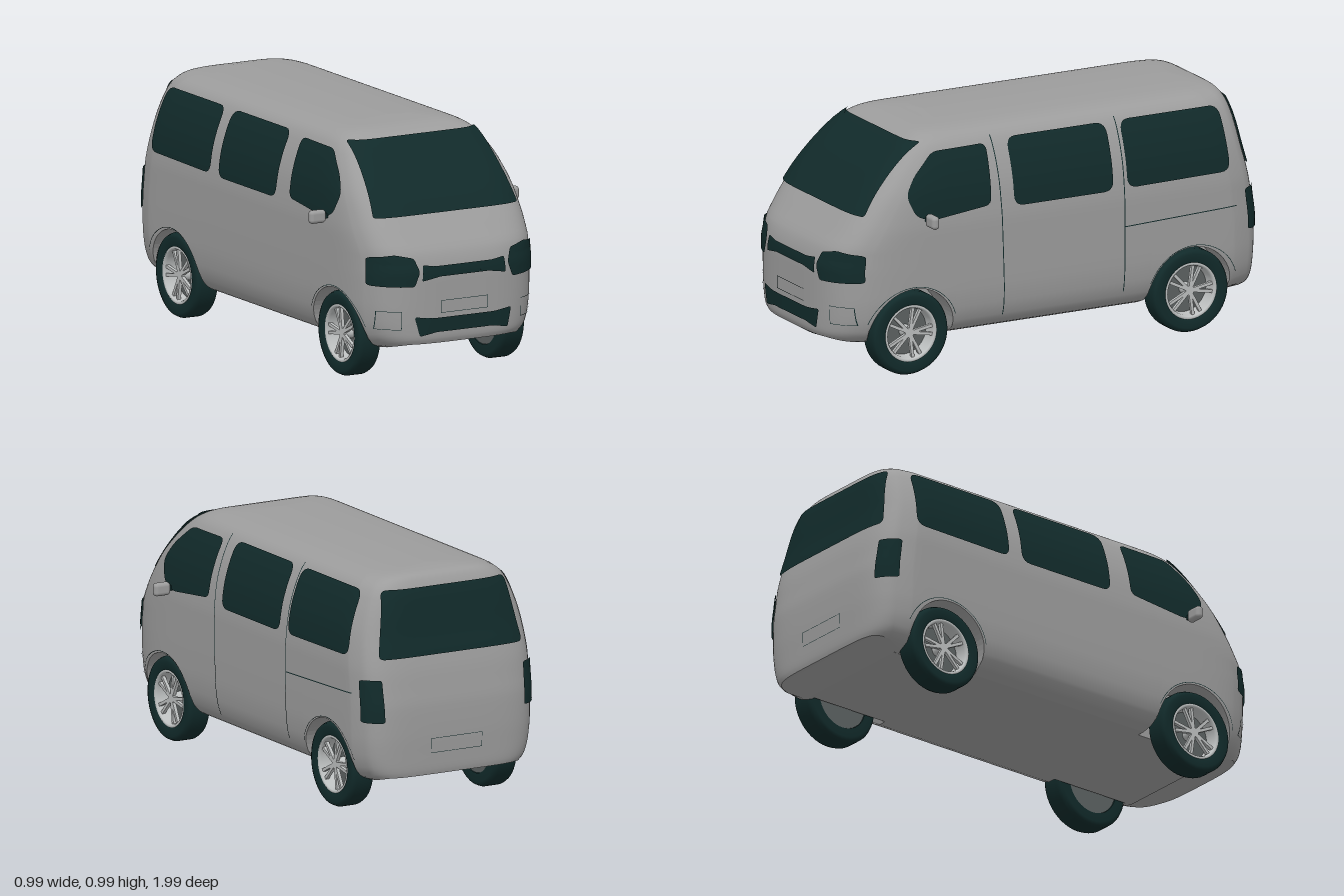
import * as THREE from 'three';
import { RoundedBoxGeometry } from 'three/addons/geometries/RoundedBoxGeometry.js';

const V3 = (x, y, z) => new THREE.Vector3(x, y, z);
const mat = (name, color, side = THREE.FrontSide) => {
  const m = new THREE.MeshStandardMaterial({ color, side });
  m.name = name;
  return m;
};

// Body profile by height: half width, front reach, rear reach
const Y = [.135, .16, .2, .26, .34, .45, .53, .6, .67, .75, .83, .9, .93, .95, .97, .982, .99];
const W = [.30, .355, .385, .402, .409, .41, .41, .41, .405, .394, .372, .343, .325, .306, .27, .22, .12];
const F = [.95, .98, .994, .994, .994, .994, .975, .925, .87, .805, .73, .655, .62, .59, .55, .5, .4];
const B = [.95, .975, .983, .985, .987, .985, .975, .965, .95, .93, .915, .9, .89, .88, .865, .84, .78];

// Smooth interpolation without overshoot
function curve(T, y) {
  const n = Y.length;
  y = Math.min(Math.max(y, Y[0]), Y[n - 1]);
  let i = 0;
  while (i < n - 2 && y > Y[i + 1]) i++;
  const slope = k => (T[k + 1] - T[k]) / (Y[k + 1] - Y[k]);
  const tangent = k => {
    if (k === 0) return slope(0);
    if (k === n - 1) return slope(n - 2);
    const a = slope(k - 1), b = slope(k);
    return a * b <= 0 ? 0 : 2 * a * b / (a + b);
  };
  const h = Y[i + 1] - Y[i], t = (y - Y[i]) / h, t2 = t * t, t3 = t2 * t;
  return (2 * t3 - 3 * t2 + 1) * T[i] + (t3 - 2 * t2 + t) * h * tangent(i)
    + (3 * t2 - 2 * t3) * T[i + 1] + (t3 - t2) * h * tangent(i + 1);
}

// Plan shape: s runs from 1 (nose) to -1 (tail), rounded at both ends
const END = { front: { at: .5, p: 4.5 }, back: { at: .75, p: 4 } };
const power = (end, y) => end === 'back' ? 6 : 4 + 6 * THREE.MathUtils.clamp((y - .5) / .4, 0, 1);
function planWidth(s, y) {
  const end = s > 0 ? 'front' : 'back', e = END[end];
  const t = Math.min(Math.max(0, (Math.abs(s) - e.at) / (1 - e.at)), 1);
  return Math.pow(1 - Math.pow(t, e.p), 1 / power(end, y));
}
function planReach(g, end, y) {
  const e = END[end];
  return e.at + (1 - e.at) * Math.pow(1 - Math.pow(g, power(end, y)), 1 / e.p);
}
const zAt = (s, y) => s > .2 ? .2 + (s - .2) * (curve(F, y) - .2) / .8
  : s < -.2 ? -.2 + (s + .2) * (curve(B, y) - .2) / .8 : s;
const sAt = (z, y) => z > .2 ? Math.min(1, .2 + (z - .2) * .8 / (curve(F, y) - .2))
  : z < -.2 ? Math.max(-1, -.2 + (z + .2) * .8 / (curve(B, y) - .2)) : z;

// Lower edge of the body with the wheel arches
const AXLE = .65, HUB = .175, ARCH = .193;
const floorAt = s => .138 + .03 * THREE.MathUtils.clamp((Math.abs(s) - .86) / .12, 0, 1);
function edgeAt(s) {
  const d = Math.abs(Math.abs(s) - AXLE);
  return d <= ARCH + 1e-6 ? HUB + Math.sqrt(Math.max(0, ARCH * ARCH - d * d)) : floorAt(s);
}

function columns() {
  const arch = [AXLE + ARCH + .002];
  for (let i = 0; i <= 28; i++) arch.push(AXLE + ARCH * Math.cos(Math.PI * i / 28));
  arch.push(AXLE - ARCH - .002);
  const tip = end => {
    const g0 = planWidth(end === 'front' ? .855 : -.855, .3), out = [];
    for (let i = 0; i <= 26; i++) out.push(i === 0 ? 1 : planReach(g0 * i / 26, end, .3));
    return out;
  };
  const middle = [];
  for (let i = 1; i < 16; i++) middle.push(.45 - .9 * i / 16);
  return [...tip('front'), ...arch, ...middle, ...arch.map(s => -s).reverse(), ...tip('back').map(s => -s).reverse()];
}

// Closed rings of points joined row by row
function loft(rows) {
  const n = rows[0].length, pos = [], idx = [];
  rows.forEach(r => r.forEach(p => pos.push(p.x, p.y, p.z)));
  for (let j = 0; j < rows.length - 1; j++) for (let i = 0; i < n; i++) {
    const a = j * n + i, b = j * n + (i + 1) % n;
    idx.push(a, b, b + n, a, b + n, a + n);
  }
  const g = new THREE.BufferGeometry();
  g.setAttribute('position', new THREE.Float32BufferAttribute(pos, 3));
  g.setIndex(idx);
  g.computeVertexNormals();
  return g;
}
const ring = (cols, fn) => {
  const half = cols.map(fn);
  return [...half, ...half.slice(1, -1).reverse().map(p => V3(-p.x, p.y, p.z))];
};

// Point on the body seen from one side, lifted along the normal
function onBody(side, u, v, lift) {
  const at = (a, b) => {
    const w = curve(W, b);
    if (side === 'left' || side === 'right')
      return V3((side === 'left' ? 1 : -1) * w * planWidth(sAt(a, b), b), b, a);
    const s = planReach(Math.min(Math.abs(a) / w, .985), side, b);
    return V3(a, b, zAt(side === 'front' ? s : -s, b));
  };
  const p = at(u, v), d = .003;
  const n = at(u + d, v).sub(at(u - d, v)).cross(at(u, v + d).sub(at(u, v - d))).normalize();
  const out = { left: V3(1, 0, 0), right: V3(-1, 0, 0), front: V3(0, 0, 1), back: V3(0, 0, -1) }[side];
  return p.addScaledVector(n, n.dot(out) < 0 ? -lift : lift);
}

// Rounded outline with evenly spaced points
function outline(pts, r) {
  const P = pts.map(p => new THREE.Vector2(...p)), out = [], n = P.length;
  P.forEach((p, i) => {
    const toward = q => p.clone().lerp(q, Math.min(.45, r / p.distanceTo(q)));
    const c = new THREE.QuadraticBezierCurve(toward(P[(i + n - 1) % n]), p, toward(P[(i + 1) % n]));
    out.push(...c.getPoints(5));
  });
  return out.flatMap((p, i) => {
    const q = out[(i + 1) % out.length], k = Math.max(1, Math.ceil(p.distanceTo(q) / .025));
    return Array.from({ length: k }, (_, j) => p.clone().lerp(q, j / k));
  });
}
function panelGeometry(side, pts, r, lift = .006) {
  const edge = outline(pts, r), c = new THREE.Vector2(), rows = [];
  edge.forEach(p => c.addScaledVector(p, 1 / edge.length));
  for (let k = 0; k <= 10; k++) rows.push(edge.map(p => {
    const q = c.clone().lerp(p, k === 0 ? .001 : k / 10);
    return onBody(side, q.x, q.y, lift);
  }));
  return loft(rows);
}
function seamGeometry(side, pts, width = .004) {
  const pos = [];
  for (let i = 0; i < pts.length - 1; i++) {
    const a = new THREE.Vector2(...pts[i]), b = new THREE.Vector2(...pts[i + 1]);
    const n = b.clone().sub(a).normalize().multiplyScalar(width / 2);
    const k = Math.ceil(a.distanceTo(b) / .02);
    for (let j = 0; j < k; j++) {
      const p = a.clone().lerp(b, j / k), q = a.clone().lerp(b, (j + 1) / k);
      const c = [[p, -1], [q, -1], [q, 1], [p, 1]].map(([e, m]) => onBody(side, e.x + n.y * m, e.y - n.x * m, .003));
      [0, 1, 2, 0, 2, 3].forEach(m => pos.push(...c[m].toArray()));
    }
  }
  const g = new THREE.BufferGeometry();
  g.setAttribute('position', new THREE.Float32BufferAttribute(pos, 3));
  g.computeVertexNormals();
  return g;
}

export function createModel() {
  const van = new THREE.Group();
  van.name = 'van';
  const paint = mat('bodyGrey', 0x9c9c9c), dark = mat('darkGlass', 0x112a2a, THREE.DoubleSide);
  const metal = mat('rimSilver', 0xbcbfbf), shade = mat('rimShade', 0x5c6262);
  const add = (name, geo, m, parent = van) => {
    const mesh = new THREE.Mesh(geo, m);
    mesh.name = name;
    parent.add(mesh);
    return mesh;
  };

  // Body shell
  const cols = columns(), levels = [];
  Y.forEach((y, i) => { if (i < Y.length - 1) for (let k = 0; k < 3; k++) levels.push(y + (Y[i + 1] - y) * k / 3); });
  levels.push(.99);
  const skin = (s, level) => {
    const e = edgeAt(s), y = level < .45 ? e + (level - .135) / .315 * (.45 - e) : level;
    return V3(curve(W, y) * planWidth(s, y), y, zAt(s, y));
  };
  const rows = levels.map(l => ring(cols, s => skin(s, l)));
  rows.push(ring(cols, s => V3(0, .992, zAt(s, .99) * .95)));
  add('bodyShell', loft(rows), paint);

  // Floor and wheel wells
  const under = (x, low) => ring(cols, s => {
    const p = skin(s, .135);
    return V3(Math.min(x, p.x), low ? floorAt(s) : p.y, p.z);
  });
  const floor = loft([under(0, true), under(.272, true), under(.272, false), under(1, false)]).toNonIndexed();
  floor.computeVertexNormals();
  add('underbody', floor, paint);

  // Side windows and mirrors
  const sideWindows = {
    frontDoorWindow: [[.675, .755], [.63, .825], [.53, .912], [.282, .915], [.292, .675], [.57, .645], [.64, .67]],
    middleWindow: [[.185, .925], [-.275, .925], [-.275, .655], [.185, .655]],
    rearSideWindow: [[-.34, .925], [-.80, .925], [-.818, .665], [-.34, .658]],
  };
  for (const side of ['left', 'right']) {
    const m = side === 'left' ? 1 : -1;
    for (const [name, pts] of Object.entries(sideWindows))
      add(side + name, panelGeometry(side, pts, name === 'frontDoorWindow' ? .03 : .045), dark);
    add(side + 'Mirror', new RoundedBoxGeometry(.075, .055, .034, 4, .016), paint).position.set(m * .455, .655, .59);
    add(side + 'MirrorArm', new THREE.BoxGeometry(.04, .02, .015), dark).position.set(m * .41, .655, .59);
    for (const z of [AXLE, -AXLE]) {
      const arc = Array.from({ length: 25 }, (_, i) => {
        const a = Math.PI * (.1 + .8 * i / 24);
        return [z + .207 * Math.cos(a), HUB + .2 * Math.sin(a)];
      });
      add(side + 'ArchSeam', seamGeometry(side, arc, .0025), dark);
    }
  }

  // Door seams, on the left side only
  add('frontDoorSeam', seamGeometry('left', [[.25, .94], [.245, .7], [.228, .2]]), dark);
  add('slidingDoorSeam', seamGeometry('left', [[-.325, .94], [-.328, .22]]), dark);
  add('slideRailSeam', seamGeometry('left', [[-.33, .497], [-.845, .515]]), dark);

  // Front and rear glass
  add('windscreen', panelGeometry('front', [[-.335, .675], [.335, .675], [.298, .945], [-.298, .945]], .012, .009), dark);
  add('rearWindow', panelGeometry('back', [[-.335, .66], [.335, .66], [.285, .93], [-.285, .93]], .025, .008), dark);

  // Lights, grilles and outlines
  const box = (x0, x1, y0, y1) => [[x0, y0], [x1, y0], [x1, y1], [x0, y1], [x0, y0]];
  for (const m of [1, -1]) {
    const flip = pts => pts.map(([x, y]) => [m * x, y]);
    const tag = m > 0 ? 'left' : 'right';
    add(tag + 'Headlight', panelGeometry('front',
      flip([[.205, .47], [.225, .525], [.30, .541], [.38, .53], [.382, .415], [.228, .41]]), .012, .007), dark);
    add(tag + 'TailLight', panelGeometry('back', flip([[.325, .405], [.396, .405], [.396, .58], [.33, .58]]), .01, .007), dark);
    add(tag + 'FogLightOutline', seamGeometry('front', flip(box(.278, .36, .235, .31)), .002), dark);
  }
  add('grille', panelGeometry('front',
    [[-.195, .43], [-.15, .445], [.15, .445], [.195, .43], [.19, .495], [.13, .487], [-.13, .487], [-.19, .495]], .008), dark);
  add('lowerGrille', panelGeometry('front',
    [[-.205, .203], [-.13, .216], [.13, .216], [.205, .203], [.222, .285], [.14, .275], [-.14, .275], [-.228, .285]], .01), dark);
  add('frontPlateOutline', seamGeometry('front', box(-.11, .11, .294, .344), .002), dark);
  add('rearPlateOutline', seamGeometry('back', box(-.12, .12, .26, .32), .002), dark);

  // Wheels: axis along y, outer face at the top, then turned outwards
  const lathe = pts => new THREE.LatheGeometry(pts.map(p => new THREE.Vector2(...p)), 48);
  const tyreGeo = lathe([[.118, -.052], [.155, -.053], [.168, -.047], [.175, -.032], [.175, .032], [.168, .047], [.155, .053], [.125, .05], [.117, .044]]);
  const rimGeo = lathe([[.1, -.01], [.104, .035], [.108, .045], [.114, .048], [.119, .045]].reverse());
  rimGeo.scale(1, 1, 1);
  const wheelParts = parent => {
    add('tyre', tyreGeo, dark, parent);
    const rim = add('rim', rimGeo, metal, parent);
    rim.material = rimMetal;
    add('rimBack', new THREE.CylinderGeometry(.117, .117, .04, 40), shade, parent).position.y = -.03;
    add('hub', new THREE.CylinderGeometry(.02, .026, .05, 24), metal, parent).position.y = .012;
    for (let i = 0; i < 5; i++) for (const k of [-1, 1]) {
      const arm = new THREE.Group();
      arm.name = 'spoke';
      arm.rotation.y = i * Math.PI * .4 + k * .17 + Math.PI / 2;
      const bar = add('spokeBar', new THREE.BoxGeometry(.092, .014, .013), metal, arm);
      bar.position.set(.06, .03, 0);
      parent.add(arm);
    }
  };
  const rimMetal = metal;
  metal.side = THREE.DoubleSide;
  for (const m of [1, -1]) for (const z of [AXLE, -AXLE]) {
    const wheel = new THREE.Group();
    wheel.name = (z > 0 ? 'front' : 'rear') + (m > 0 ? 'Left' : 'Right') + 'Wheel';
    wheelParts(wheel);
    wheel.rotation.z = -m * Math.PI / 2;
    wheel.position.set(m * .338, HUB, z);
    van.add(wheel);
  }
  return van;
}
